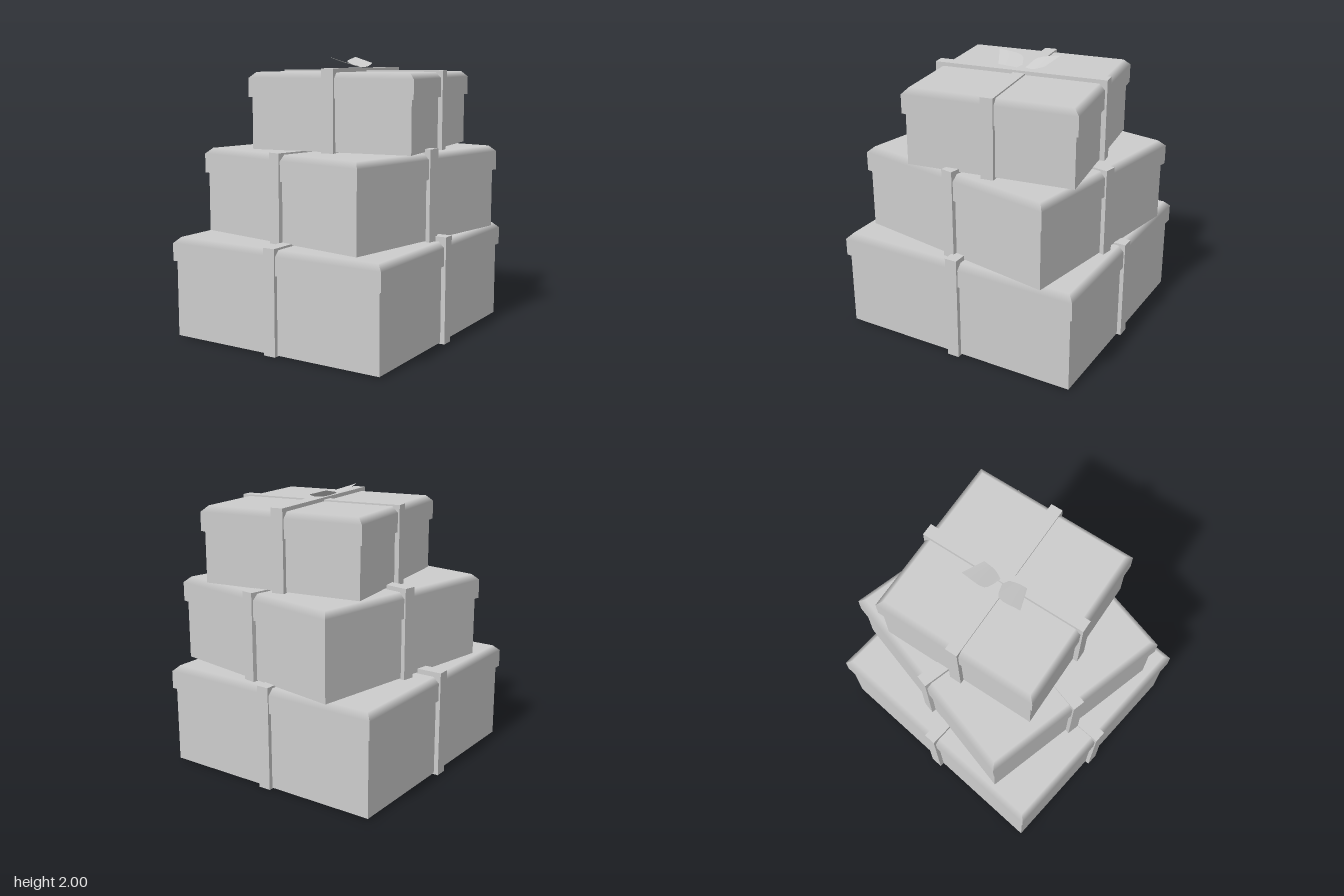
import * as THREE from 'three';

const grey = new THREE.MeshStandardMaterial({ color: 0xcccccc, side: THREE.DoubleSide });
grey.name = 'plain grey';

function add(parent, geometry, name) {
  const mesh = new THREE.Mesh(geometry, grey);
  mesh.name = name;
  parent.add(mesh);
  return mesh;
}

// Box from y0 to y1, centred in its group
function slab(parent, name, w, d, y0, y1) {
  add(parent, new THREE.BoxGeometry(w, y1 - y0, d), name).position.y = (y0 + y1) / 2;
}

// Lid with a bevelled rim; normals blend from the sides to the flat top
function lidGeometry(w, d, y0, y1, bevel = 0.042) {
  const pos = [], nor = [];
  const quad = (points, normals) => {
    for (const i of [0, 1, 2, 0, 2, 3]) {
      pos.push(...points[i]);
      nor.push(...normals[i]);
    }
  };
  const ring = (y, inset) => [[1, 1], [1, -1], [-1, -1], [-1, 1]]
    .map(([sx, sz]) => [sx * (w / 2 - inset), y, sz * (d / 2 - inset)]);
  const low = ring(y0, 0), shoulder = ring(y1 - bevel, 0), top = ring(y1, bevel);
  const up = [0, 1, 0], down = [0, -1, 0];
  for (let i = 0; i < 4; i++) {
    const j = (i + 1) % 4;
    const out = [[1, 0, 0], [0, 0, -1], [-1, 0, 0], [0, 0, 1]][i];
    quad([low[i], low[j], shoulder[j], shoulder[i]], [out, out, out, out]);
    quad([shoulder[i], shoulder[j], top[j], top[i]], [out, out, up, up]);
  }
  quad(top, [up, up, up, up]);
  quad([...low].reverse(), [down, down, down, down]);
  const g = new THREE.BufferGeometry();
  g.setAttribute('position', new THREE.Float32BufferAttribute(pos, 3));
  g.setAttribute('normal', new THREE.Float32BufferAttribute(nor, 3));
  return g;
}

// Curved bow loop skinned between its back and front edges
function bowLoop(back, front) {
  const curves = [back, front].map(e =>
    new THREE.CatmullRomCurve3(e.map(p => new THREE.Vector3(...p))));
  const n = 8, pos = [], index = [];
  for (let i = 0; i <= n; i++) {
    for (const c of curves) pos.push(...c.getPoint(i / n).toArray());
    if (i < n) {
      const a = 2 * i;
      index.push(a, a + 1, a + 3, a, a + 3, a + 2);
    }
  }
  // Keep the upper side as the front face
  const [a, b, c] = [0, 1, 3].map(k => new THREE.Vector3().fromArray(pos, k * 3));
  if (b.sub(a).cross(c.sub(a)).y < 0) index.reverse();
  const g = new THREE.BufferGeometry();
  g.setAttribute('position', new THREE.Float32BufferAttribute(pos, 3));
  g.setIndex(index);
  g.computeVertexNormals();
  return g;
}

export function createModel() {
  const model = new THREE.Group();
  model.name = 'giftStack';

  // Ribbons: length and top height along each axis
  const gifts = [
    { name: 'largeGift', x: 0, z: 0, turn: 0.049, w: 1.83, d: 1.71, base: 0.01, lip: 0.56, top: 0.73,
      along: [1.85, 0.745], across: [1.737, 0.765] },
    { name: 'mediumGift', x: 0.058, z: 0.043, turn: -0.12, w: 1.58, d: 1.47, base: 0.738, lip: 1.165, top: 1.345,
      along: [1.605, 1.357], across: [1.493, 1.375] },
    { name: 'smallGift', x: 0.118, z: 0.093, turn: 0.197, w: 1.224, d: 1.224, base: 1.355, lip: 1.72, top: 1.895,
      along: [1.255, 1.922], across: [1.25, 1.906] },
  ];

  for (const s of gifts) {
    const gift = new THREE.Group();
    gift.name = s.name;
    gift.position.set(s.x, 0, s.z);
    gift.rotation.y = s.turn;
    slab(gift, 'box', s.w - 0.04, s.d - 0.04, s.base, s.lip + 0.02);
    add(gift, lidGeometry(s.w, s.d, s.lip, s.top), 'lid');
    slab(gift, 'ribbonAlong', s.along[0], 0.09, s.base - 0.006, s.along[1]);
    slab(gift, 'ribbonAcross', 0.09, s.across[0], s.base - 0.01, s.across[1]);
    model.add(gift);
  }

  // Bow on the top gift
  const bow = new THREE.Group();
  bow.name = 'bow';
  add(bow, bowLoop(
    [[-0.14, 2, -0.03], [0.03, 1.97, -0.055], [0.095, 1.935, 0.04]],
    [[-0.045, 1.94, 0.13], [0.02, 1.935, 0.115], [0.08, 1.925, 0.09]]), 'rightLoop');
  add(bow, bowLoop(
    [[0.315, 2, -0.11], [0.15, 1.965, -0.07], [0.13, 1.94, 0]],
    [[0.285, 1.955, 0.065], [0.2, 1.93, 0.078], [0.13, 1.925, 0.06]]), 'leftLoop');
  model.add(bow);

  return model;
}
